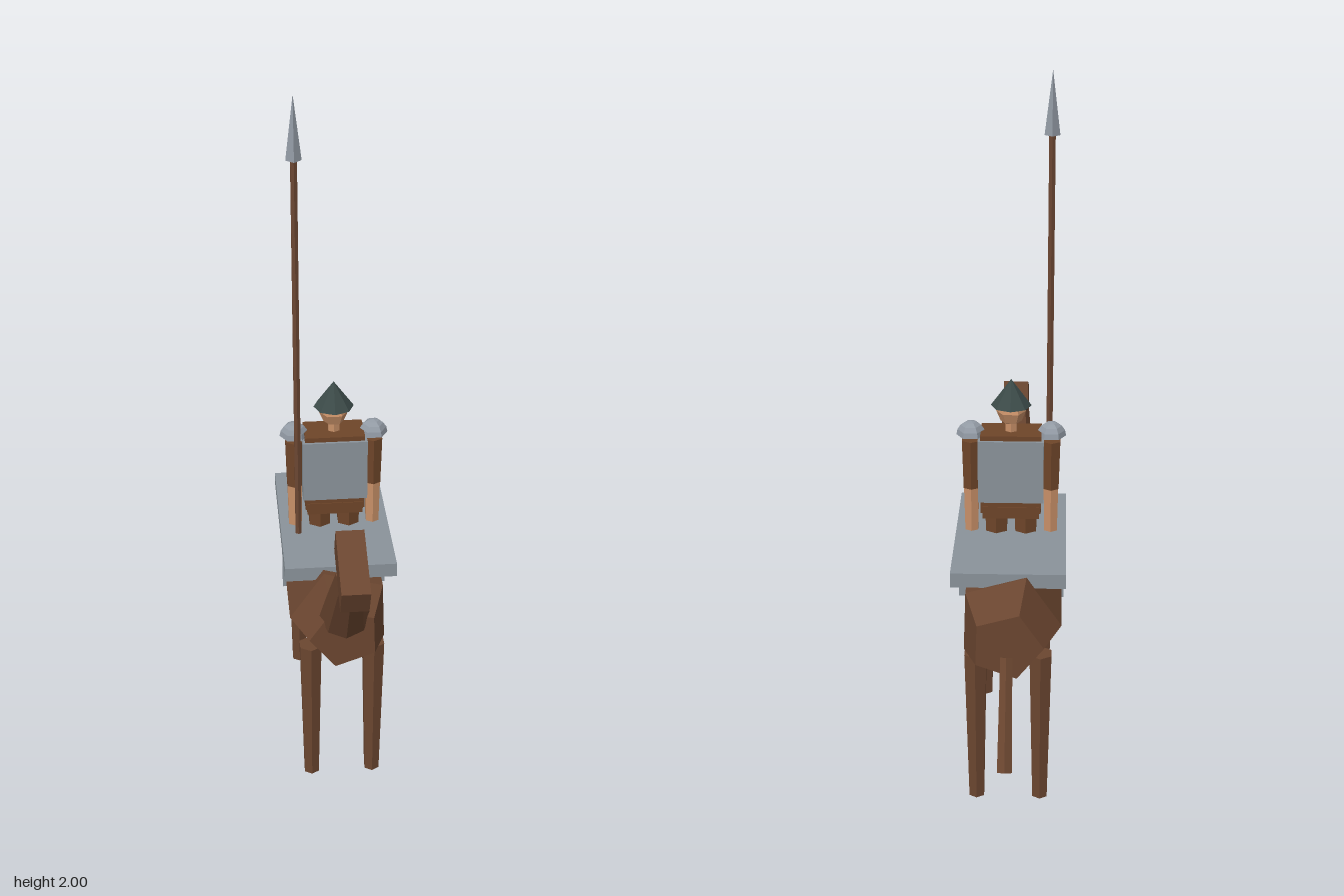
import * as THREE from 'three';

const mat = (name, color, side = THREE.FrontSide) => {
  const m = new THREE.MeshStandardMaterial({ color, flatShading: true, side });
  m.name = name;
  return m;
};

export function createModel() {
  const model = new THREE.Group();
  model.name = 'mountedLancer';
  const coat = mat('horseBrown', 0x6b4630);
  const cloth = mat('tunicBrown', 0x6e4529);
  const wood = mat('shaftBrown', 0x6b4632);
  const steel = mat('steel', 0x8a939a);
  const bright = mat('brightSteel', 0x939ba5, THREE.DoubleSide);
  const skin = mat('skin', 0xc89068);
  const iron = mat('helmetIron', 0x3b4a48);

  const add = (name, geo, material, x = 0, y = 0, z = 0, parent = model) => {
    const mesh = new THREE.Mesh(geo, material);
    mesh.name = name;
    mesh.position.set(x, y, z);
    parent.add(mesh);
    return mesh;
  };
  const box = (name, m, w, h, d, x, y, z, parent) =>
    add(name, new THREE.BoxGeometry(w, h, d), m, x, y, z, parent);
  // Tapered rod between two points
  const rod = (name, m, from, to, r0, r1, sides, parent) => {
    const a = new THREE.Vector3(...from), b = new THREE.Vector3(...to);
    const dir = b.clone().sub(a);
    const mesh = add(name, new THREE.CylinderGeometry(r1, r0, dir.length(), sides), m, 0, 0, 0, parent);
    mesh.position.copy(a).add(b).multiplyScalar(0.5);
    mesh.quaternion.setFromUnitVectors(new THREE.Vector3(0, 1, 0), dir.normalize());
    return mesh;
  };

  // Horse
  const horse = new THREE.Group();
  horse.name = 'horse';
  model.add(horse);

  // Five-sided barrel with chamfered ends
  const profile = [[0, -0.455], [0.1, -0.455], [0.147, -0.325], [0.147, 0.23], [0.1, 0.345], [0, 0.345]]
    .map(([r, z]) => new THREE.Vector2(r, z));
  const barrel = new THREE.LatheGeometry(profile, 5, THREE.MathUtils.degToRad(200));
  barrel.rotateX(Math.PI / 2);
  add('horseBody', barrel, coat, 0, 0.562, 0, horse);

  rod('horseNeck', coat, [0, 0.62, 0.315], [0, 0.875, 0.49], 0.07, 0.04, 8, horse);
  box('horseHead', coat, 0.075, 0.085, 0.192, 0, 0.903, 0.518, horse).rotation.x = 0.43;
  rod('horseTail', coat, [0, 0.53, -0.455], [0, 0.27, -0.605], 0.017, 0.021, 5, horse);
  for (const x of [-0.09, 0.09])
    for (const z of [0.235, -0.317])
      rod(z > 0 ? 'frontLeg' : 'hindLeg', coat, [x, 0, z], [x, 0.465, z], 0.024, 0.035, 6, horse);

  // Saddle board and the thin plate hanging at its sides
  box('saddle', steel, 0.315, 0.042, 0.53, 0, 0.688, -0.055);
  box('saddleFlaps', steel, 0.306, 0.19, 0.016, 0, 0.585, -0.03);

  // Rider
  const rider = new THREE.Group();
  rider.name = 'rider';
  rider.position.z = -0.034;
  model.add(rider);

  box('tunic', cloth, 0.17, 0.235, 0.1, 0, 0.897, 0, rider);
  box('breastplate', steel, 0.184, 0.185, 0.116, 0, 0.908, 0, rider);
  box('belt', cloth, 0.16, 0.035, 0.105, 0, 0.782, 0, rider);
  rod('neck', skin, [0, 1, 0], [0, 1.05, 0], 0.018, 0.018, 6, rider);
  add('head', new THREE.SphereGeometry(0.042, 6, 4), skin, 0, 1.073, 0, rider);
  add('helmet', new THREE.ConeGeometry(0.057, 0.077, 8), iron, 0, 1.128, 0, rider);

  for (const s of [-1, 1]) {
    const x = 0.113 * s;
    add('shoulderGuard', new THREE.SphereGeometry(0.041, 6, 4, 0, Math.PI * 2, 0, Math.PI / 2),
      bright, x, 1, 0, rider);
    rod('sleeve', cloth, [x, 0.84, 0], [x, 0.985, 0], 0.025, 0.029, 6, rider);
    rod('forearm', skin, [x, 0.705, 0], [x, 0.845, 0], 0.021, 0.024, 6, rider);
    rod('riderLeg', cloth, [0.042 * s, 0.36, 0], [0.042 * s, 0.79, 0], 0.028, 0.036, 6, rider);
    box('boot', cloth, 0.055, 0.036, 0.112, 0.042 * s, 0.35, 0.02, rider);
  }

  // Lance
  rod('lanceShaft', wood, [-0.107, 0.6, 0.023], [-0.107, 1.84, 0.023], 0.01, 0.01, 6);
  add('lanceTip', new THREE.ConeGeometry(0.021, 0.17, 4), bright, -0.107, 1.915, 0.023);

  return model;
}
